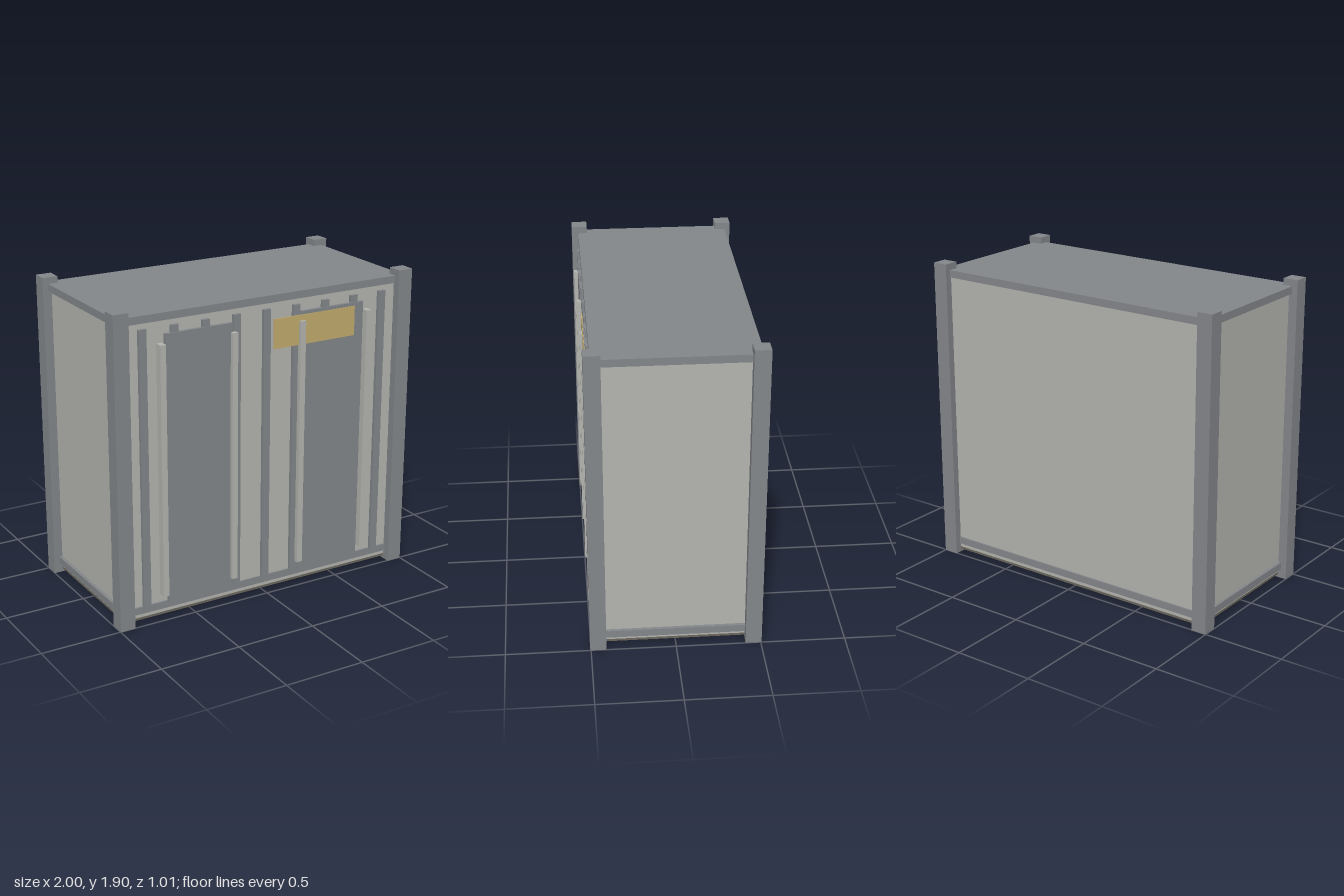
import * as THREE from 'three';

export function createModel() {
  const model = new THREE.Group();
  const mat = (name, color) => {
    const m = new THREE.MeshStandardMaterial({ color });
    m.name = name;
    return m;
  };
  const steel = mat('steel grey', 0x83868a);
  const panel = mat('light grey', 0xb3b3af);
  const dark = mat('dark brown grey', 0x6a665c);
  const ochre = mat('ochre', 0xc2aa6e);

  // Box given by its extents along each axis
  const box = (name, material, [x0, x1], [y0, y1], [z0, z1]) => {
    const mesh = new THREE.Mesh(new THREE.BoxGeometry(x1 - x0, y1 - y0, z1 - z0), material);
    mesh.position.set((x0 + x1) / 2, (y0 + y1) / 2, (z0 + z1) / 2);
    mesh.name = name;
    model.add(mesh);
    return mesh;
  };

  // Walls, floor slab with dark edges, and roof
  box('body', panel, [-0.945, 0.945], [0.035, 1.83], [-0.462, 0.455]);
  box('floorSlab', [dark, dark, panel, panel, dark, dark], [-0.945, 0.945], [0.02, 0.035], [-0.462, 0.455]);
  box('roof', steel, [-0.95, 0.95], [1.83, 1.865], [-0.465, 0.46]);

  // Corner posts
  for (const sx of [-1, 1]) for (const sz of [-1, 1]) {
    const x = sx * 0.9525, z = sz * 0.4575;
    box('cornerPost', steel, [x - 0.0475, x + 0.0475], [0, 1.905], [z - 0.0475, z + 0.0475]);
  }

  // Rails around the top and bottom
  for (const [name, y] of [['bottomRail', [0.06, 0.105]], ['topRail', [1.82, 1.865]]]) {
    box(name + 'Front', steel, [-0.92, 0.92], y, [0.42, 0.465]);
    box(name + 'Back', steel, [-0.92, 0.92], y, [-0.472, -0.42]);
    box(name + 'Left', steel, [0.92, 0.965], y, [-0.42, 0.42]);
    box(name + 'Right', steel, [-0.965, -0.92], y, [-0.42, 0.42]);
  }

  // Vertical ribs on the front
  for (let i = -4; i <= 4; i++) {
    const x = i * 0.2015;
    box('frontRib', steel, [x - 0.024, x + 0.024], [0.09, 1.788], [0.45, 0.475]);
  }

  // Door panels and their locking bars
  for (const s of [-1, 1]) {
    box('doorPanel', steel, s < 0 ? [-0.668, -0.232] : [0.225, 0.665], [0.1, 1.745], [0.46, 0.48]);
    for (const bx of [0.23, 0.695]) {
      const x = s * bx;
      box('lockingBar', panel, [x - 0.018, x + 0.018], [0.155, 1.69], [0.45, 0.503]);
    }
  }

  // Sign plate across the left door
  box('signPlate', ochre, [0.04, 0.603], [1.545, 1.725], [0.477, 0.484]);

  return model;
}
